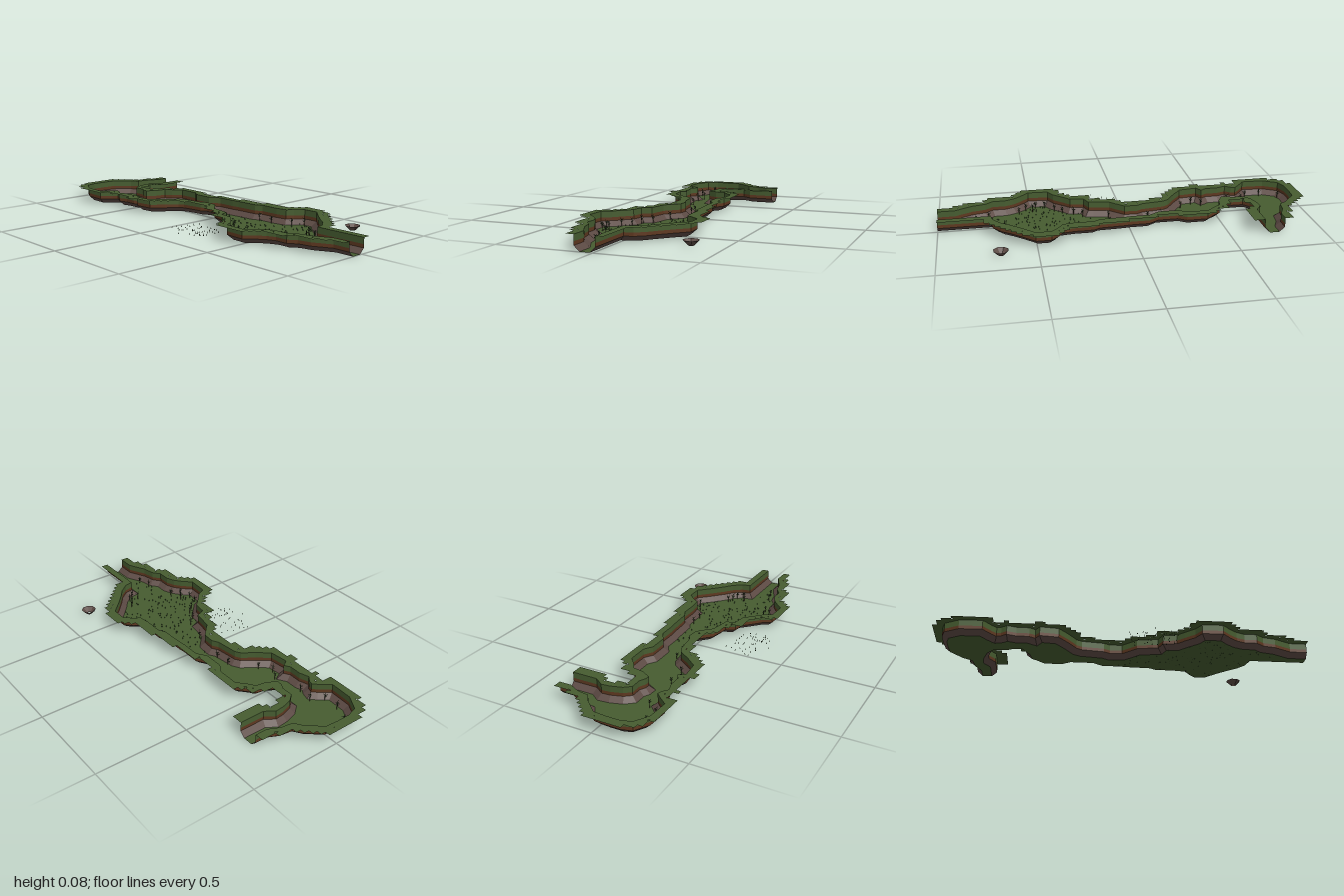
import * as THREE from 'three';
import { mergeGeometries } from 'three/addons/utils/BufferGeometryUtils.js';

// Heights of the floor, the top of the rock foot, the top of the soil and the rim
const FLOOR = 0.005, FOOT = 0.031, SOIL = 0.049, RIM = 0.081;
const HALF_SLOPE = 0.014, CELL = 2 / 75, BACK = -0.32;

// Middle lines of the sloped rock foot, as x,z pairs
const FRONT_PATH = [
  -.78, -.32, -.78, -.25, -.81, -.19, -.82, -.12, -.865, -.09, -.90, -.05, -.93, -.015, -.935, .05, -.935, .12,
  -.92, .17, -.85, .21, -.74, .215, -.70, .165, -.67, .135, -.635, .145, -.61, .165, -.565, .15, -.50, .15,
  -.46, .125, -.435, .165, -.35, .155, -.30, .095, -.255, .03, -.22, .01, -.10, -.005, -.065, -.025, .01, -.02,
  .06, .025, .085, .05, .165, .065, .20, .07, .22, .12, .29, .13, .33, .17, .38, .215, .405, .26, .50, .265,
  .545, .22, .585, .19, .635, .17, .70, .17, .74, .14, .81, .125, .85, .105, .905, .078, 1, .078,
];
const BACK_PATH = [
  1, 0, .71, 0, .70, -.055, .665, -.10, .62, -.135, .565, -.185, .50, -.25, .43, -.25, .395, -.215, .37, -.175,
  .30, -.165, .20, -.165, .165, -.145, .04, -.14, -.005, -.135, -.10, -.135, -.155, -.10, -.27, -.10, -.315, -.13,
  -.42, -.13, -.465, -.09, -.495, -.07, -.505, -.015, -.54, .045, -.58, .043, -.61, .027, -.675, .027,
  -.71, -.015, -.73, -.08, -.735, -.135, -.70, -.185, -.70, -.32,
];
const PLANTS = [
  .40, -.19, .46, -.22, .595, -.10, .62, -.08, .66, -.07, .685, -.04, .65, -.02, .30, -.14, .22, -.135, .73, .11,
  .80, .09, .565, .16, .525, .20, .47, .23, .42, .23, .37, .17, .33, .13, .27, .105, .225, .06, .09, .02, .49, .18,
  -.915, .13, -.82, .18, -.735, .18, -.69, .12, -.61, .13, -.45, .10, -.40, .13, -.33, .09, -.20, -.01, -.12, -.02,
];

const material = (name, color) => {
  const m = new THREE.MeshStandardMaterial({ color, side: THREE.DoubleSide, flatShading: true });
  m.name = name;
  return m;
};

const toPoints = (a) => Array.from({ length: a.length / 2 }, (_, i) => new THREE.Vector2(a[2 * i], a[2 * i + 1]));

// Mitred copy of a line, moved sideways (positive is away from the valley)
function offset(line, d) {
  const normal = (a, b) => new THREE.Vector2(a.y - b.y, b.x - a.x).normalize();
  return line.map((p, i) => {
    const n1 = normal(line[Math.max(i - 1, 0)], line[Math.max(i, 1)]);
    const last = line.length - 1;
    const n2 = normal(line[Math.min(i, last - 1)], line[Math.min(i + 1, last)]);
    const m = n1.clone().add(n2).divideScalar(Math.max(1 + n1.dot(n2), 0.7));
    return p.clone().addScaledVector(m, d);
  });
}

function fromTriangles(positions) {
  const g = new THREE.BufferGeometry();
  g.setAttribute('position', new THREE.Float32BufferAttribute(positions, 3));
  g.computeVertexNormals();
  return g;
}

// Strip between a lower line and an upper line
function strip(a, ya, b, yb) {
  const out = [];
  for (let i = 0; i + 1 < a.length; i++) {
    const p = [a[i].x, ya, a[i].y], q = [a[i + 1].x, ya, a[i + 1].y];
    const r = [b[i + 1].x, yb, b[i + 1].y], s = [b[i].x, yb, b[i].y];
    out.push(...p, ...q, ...r, ...p, ...r, ...s);
  }
  return fromTriangles(out);
}

function inside(poly, x, z) {
  let hit = false;
  for (let i = 0, j = poly.length - 1; i < poly.length; j = i++) {
    const a = poly[i], b = poly[j];
    if ((a.y > z) !== (b.y > z) && x < ((b.x - a.x) * (z - a.y)) / (b.y - a.y) + a.x) hit = !hit;
  }
  return hit;
}

function distance(line, x, z) {
  let best = Infinity;
  for (let i = 0; i + 1 < line.length; i++) {
    const a = line[i], dx = line[i + 1].x - a.x, dz = line[i + 1].y - a.y;
    const t = THREE.MathUtils.clamp(((x - a.x) * dx + (z - a.y) * dz) / (dx * dx + dz * dz), 0, 1);
    best = Math.min(best, Math.hypot(x - a.x - t * dx, z - a.y - t * dz));
  }
  return best;
}

// Stepped outer border of the rim, made of square cells
function rimCells(walls, poly) {
  const out = [];
  for (let i = 0; i < 75; i++) for (let k = 0; k < 26; k++) {
    const x = -1 + i * CELL, z = BACK + k * CELL, X = x + CELL, Z = z + CELL;
    const near = Math.min(...walls.map((w) => distance(w, x + CELL / 2, z + CELL / 2)));
    if (near > 0.05) continue;
    if ([[x, z], [X, z], [x, Z], [X, Z]].some(([u, v]) => inside(poly, u, v))) continue;
    out.push(x, RIM, z, x, RIM, Z, X, RIM, Z, x, RIM, z, X, RIM, Z, X, RIM, z);
  }
  return fromTriangles(out);
}

export function createModel() {
  const model = new THREE.Group();
  const grass = material('grass', 0x465c30);
  const soil = material('soil', 0x5e3820);
  const rock = material('rock', 0x5c4a44);
  const leaf = material('leaf', 0x2c3d22);
  const bark = material('bark', 0x3c2c20);
  const add = (name, geometry, mat) => {
    const mesh = new THREE.Mesh(geometry, mat);
    mesh.name = name;
    model.add(mesh);
  };
  let seed = 7;
  const rand = () => (seed = (seed * 16807) % 2147483647) / 2147483647;

  const paths = [FRONT_PATH, BACK_PATH].map(toPoints);
  const walls = paths.map((p) => offset(p, HALF_SLOPE));
  const feet = paths.map((p) => offset(p, -HALF_SLOPE));
  const wallLoop = walls.flat(), floorLoop = feet.flat();

  // Valley floor
  const shape = new THREE.Shape(floorLoop.map((p) => new THREE.Vector2(p.x, -p.y)));
  add('valleyFloor', new THREE.ShapeGeometry(shape).rotateX(-Math.PI / 2).translate(0, FLOOR, 0), grass);

  // Cliffs: rock foot, soil band, grassy band and the inner part of the rim
  ['front', 'back'].forEach((side, i) => {
    add(side + 'RockFoot', strip(feet[i], FLOOR, walls[i], FOOT), rock);
    add(side + 'SoilBand', strip(walls[i], FOOT, walls[i], SOIL), soil);
    add(side + 'GrassBand', strip(walls[i], SOIL, walls[i], RIM), grass);
    add(side + 'RimInner', strip(walls[i], RIM, offset(walls[i], 0.027), RIM), grass);
  });
  add('rimSteps', rimCells(walls, wallLoop), grass);

  // Small separate rock funnel behind the valley
  const funnel = new THREE.CylinderGeometry(0.04, 0.014, FOOT - FLOOR, 8, 1, true).rotateY(Math.PI / 8);
  add('rockFunnel', funnel.translate(0.685, (FLOOR + FOOT) / 2, -0.335), rock);

  // Tall plants along the cliffs: a thin stem with tilted leaves
  const stems = [], leaves = [];
  toPoints(PLANTS).forEach((p) => {
    const h = 0.03 + 0.012 * rand();
    stems.push(new THREE.CylinderGeometry(0.001, 0.002, h, 4).translate(p.x, FLOOR + h / 2, p.y));
    for (let i = 0; i < 7; i++) {
      const blade = new THREE.ConeGeometry(0.0025, 0.016, 3).translate(0, 0.008, 0);
      blade.rotateZ(0.5 + 0.7 * rand()).rotateY(i * 2.4 + rand());
      leaves.push(blade.translate(p.x, FLOOR + h * (0.55 + 0.075 * i), p.y));
    }
  });
  add('plantStems', mergeGeometries(stems), bark);
  add('plantLeaves', mergeGeometries(leaves), leaf);

  // Small grass tufts on the floor and in a patch in front
  const tufts = [];
  const tuft = (x, z) => tufts.push(new THREE.ConeGeometry(0.003, 0.01, 3).translate(x, FLOOR + 0.004, z));
  for (let i = 0; i < 260; i++) {
    const x = -0.05 + 0.85 * rand(), z = -0.24 + 0.5 * rand();
    if (inside(floorLoop, x, z)) tuft(x, z);
  }
  for (let i = 0; i < 45; i++) {
    const t = rand();
    tuft(0.01 + 0.26 * t, 0.14 + 0.05 * t + 0.17 * rand());
  }
  tuft(0.14, 0.366);
  add('grassTufts', mergeGeometries(tufts), leaf);

  return model;
}
